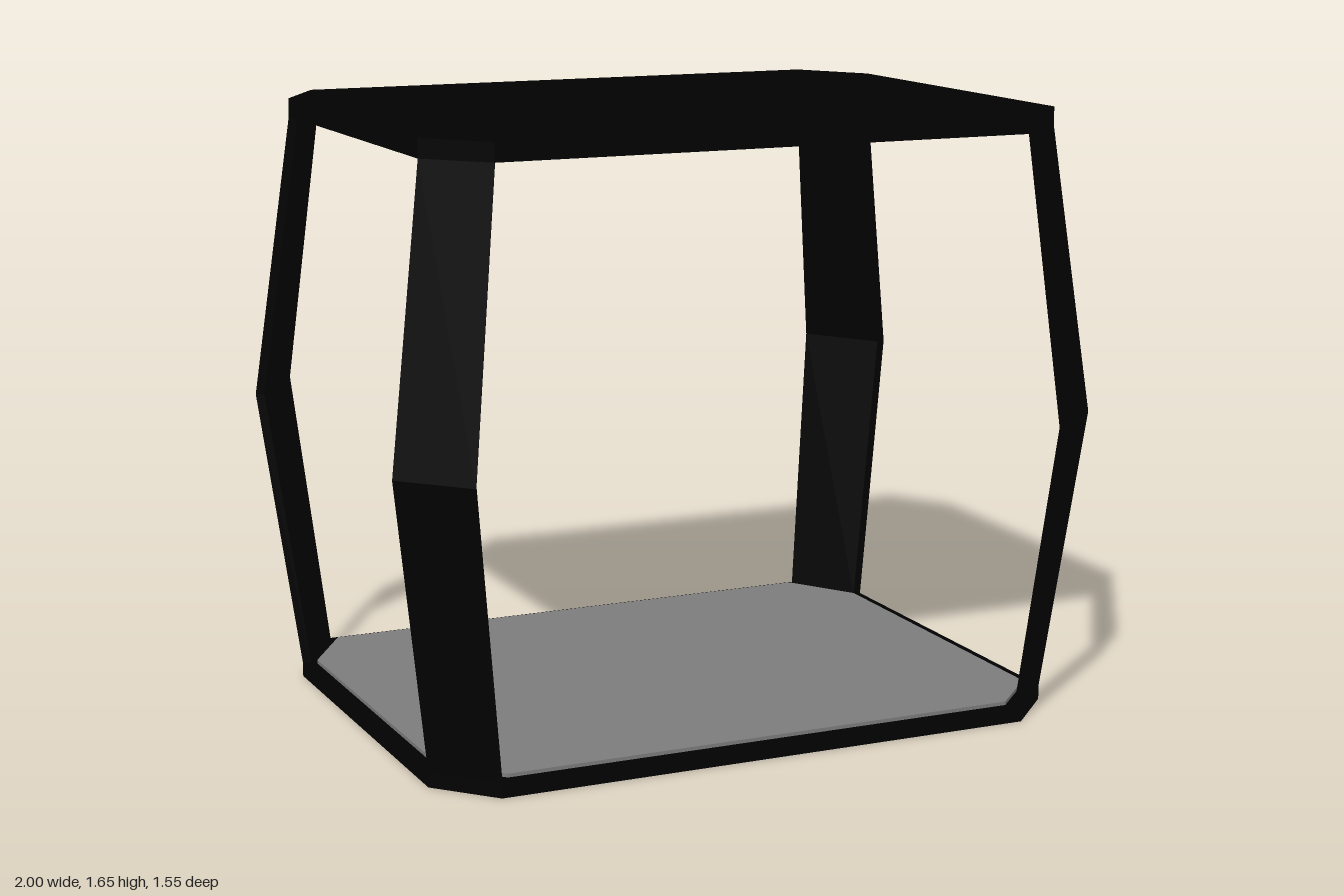
import * as THREE from 'three';

// Two chamfered plates joined by four thin, outward-bent corner posts.
const HEIGHT = 1.65, PLATE_TOP = 0.04, ROOF_BOTTOM = 1.6, BEND_Y = 0.82;

// Each corner as [x, z] ends of the chamfer, at the plates and at the bend.
const corners = [
  { name: 'frontLeftPost', plate: [[0.9, 0.55], [0.75, 0.705]], bend: [[1, 0.605], [0.825, 0.775]] },
  { name: 'frontRightPost', plate: [[-0.76, 0.705], [-0.9, 0.55]], bend: [[-0.845, 0.775], [-1, 0.605]] },
  { name: 'backRightPost', plate: [[-0.9, -0.5], [-0.77, -0.705]], bend: [[-1, -0.555], [-0.85, -0.78]] },
  { name: 'backLeftPost', plate: [[0.77, -0.705], [0.9, -0.5]], bend: [[0.85, -0.78], [1, -0.555]] },
];

// Octagonal slab between two heights, shrunk by an inset on every side.
function slab(name, material, y0, y1, inset) {
  const sx = 1 - inset / 0.9, sz = 1 - inset / 0.705;
  const points = corners.flatMap(c => c.plate).map(([x, z]) => new THREE.Vector2(x * sx, -z * sz));
  const geometry = new THREE.ExtrudeGeometry(new THREE.Shape(points), { depth: y1 - y0, bevelEnabled: false });
  geometry.rotateX(-Math.PI / 2).translate(0, y0, 0);
  const mesh = new THREE.Mesh(geometry, material);
  mesh.name = name;
  return mesh;
}

// Four-sided section: the outer edge plus a slightly narrower inner edge.
function section([a, b], y) {
  const thickness = 0.022, pull = 0.01;
  const dx = b[0] - a[0], dz = b[1] - a[1], len = Math.hypot(dx, dz);
  const ux = dx / len, uz = dz / len;
  const nx = -uz * thickness, nz = ux * thickness;
  return [
    [a[0], y, a[1]],
    [b[0], y, b[1]],
    [b[0] + nx - ux * pull, y, b[1] + nz - uz * pull],
    [a[0] + nx + ux * pull, y, a[1] + nz + uz * pull],
  ];
}

// Loft the post through its foot, bend and head; the ends butt on the plates.
function post({ name, plate, bend }, material) {
  const rings = [section(plate, PLATE_TOP), section(bend, BEND_Y), section(plate, ROOF_BOTTOM)];
  const positions = [];
  for (let r = 0; r < 2; r++) {
    for (let i = 0; i < 4; i++) {
      const j = (i + 1) % 4;
      const a = rings[r][i], b = rings[r][j], c = rings[r + 1][j], d = rings[r + 1][i];
      positions.push(...a, ...c, ...b, ...a, ...d, ...c);
    }
  }
  const geometry = new THREE.BufferGeometry();
  geometry.setAttribute('position', new THREE.Float32BufferAttribute(positions, 3));
  geometry.computeVertexNormals();
  const mesh = new THREE.Mesh(geometry, material);
  mesh.name = name;
  return mesh;
}

export function createModel() {
  const black = new THREE.MeshStandardMaterial({ color: 0x010101 });
  black.name = 'black';
  const grey = new THREE.MeshStandardMaterial({ color: 0x7c7c7c });
  grey.name = 'grey';

  const model = new THREE.Group();
  model.name = 'openFrame';
  model.add(
    slab('basePlate', black, 0, PLATE_TOP, 0),
    slab('floorPanel', grey, PLATE_TOP, 0.05, 0.035),
    slab('roofPlate', black, ROOF_BOTTOM, HEIGHT, 0),
    ...corners.map(c => post(c, black)),
  );
  return model;
}
